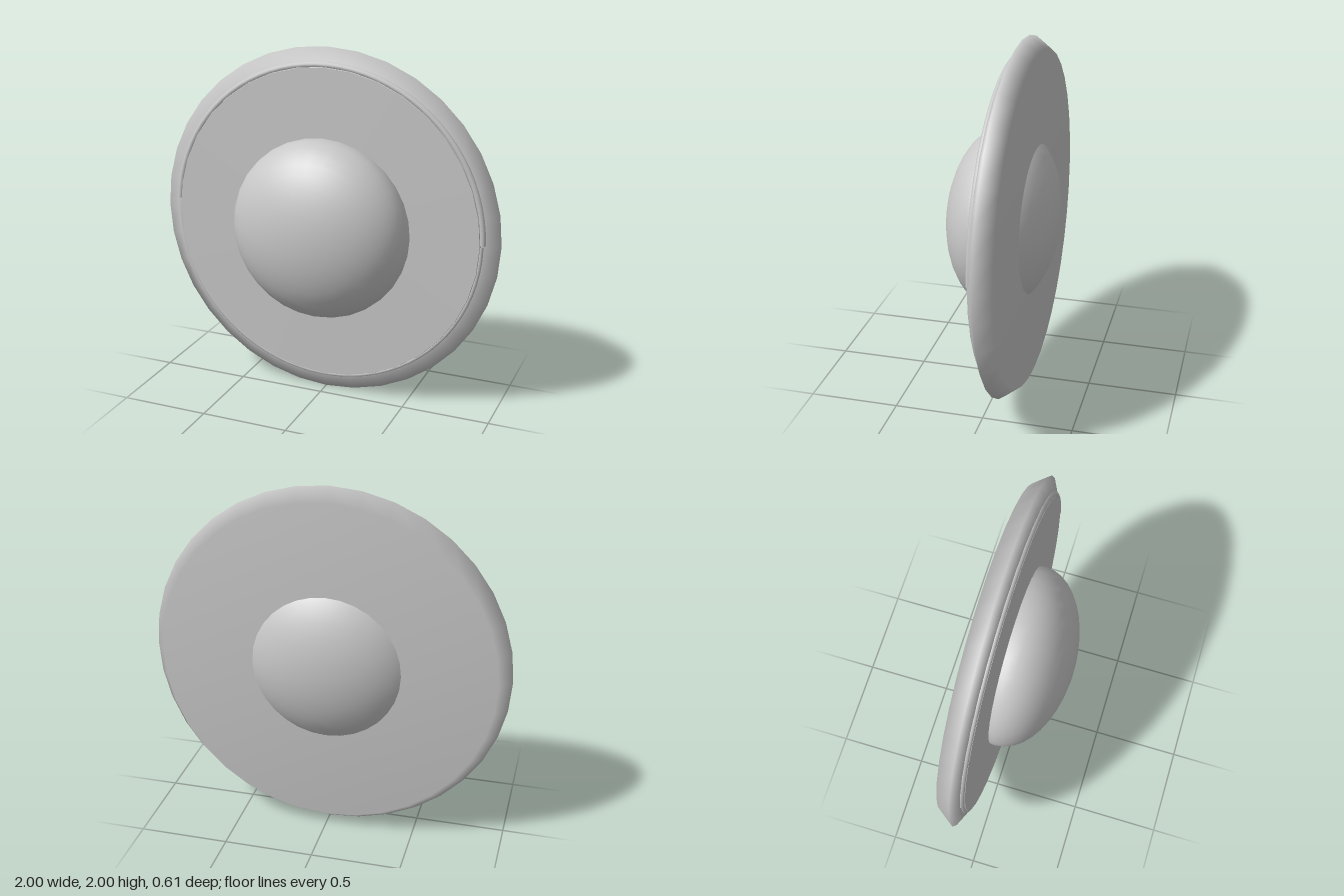
import * as THREE from 'three';

export function createModel() {
  const group = new THREE.Group();
  const grey = new THREE.MeshStandardMaterial({ color: 0xc8c8c8 });
  grey.name = 'light grey';

  const add = (name, geometry, z = 0) => {
    const mesh = new THREE.Mesh(geometry, grey);
    mesh.name = name;
    mesh.position.set(0, 1.002, z);
    group.add(mesh);
    return mesh;
  };

  // Profiles are [radius, z], turned so the axis points forward
  const turned = (profile) => new THREE.LatheGeometry(
    profile.map(([r, z]) => new THREE.Vector2(r, z)), 36).rotateX(Math.PI / 2);

  // Disc: flat back, bevelled rim, slightly conical front
  add('discBody', turned([[0, -0.178], [0.935, -0.178], [1, -0.09], [0.925, -0.053], [0.89, -0.05]]));
  add('discFrontFace', turned([[0.9, -0.05], [0.895, -0.036], [0.895, -0.036], [0, -0.022]]));

  // Ring bead round the front, in two half arcs with small gaps
  const arc = (name, radius, tube, start, end) => {
    const g = new THREE.TorusGeometry(radius, tube, 10, 40, end - start);
    add(name, g.rotateZ(start), -0.053);
  };
  arc('upperRing', 0.907, 0.017, 0.01, Math.PI - 0.07);
  arc('lowerRing', 0.9, 0.013, Math.PI - 0.03, Math.PI * 2);

  // Flattened dome passing through both faces
  const dome = new THREE.SphereGeometry(1, 32, 20).rotateX(Math.PI / 2);
  add('dome', dome.scale(0.513, 0.513, 0.303));

  return group;
}
